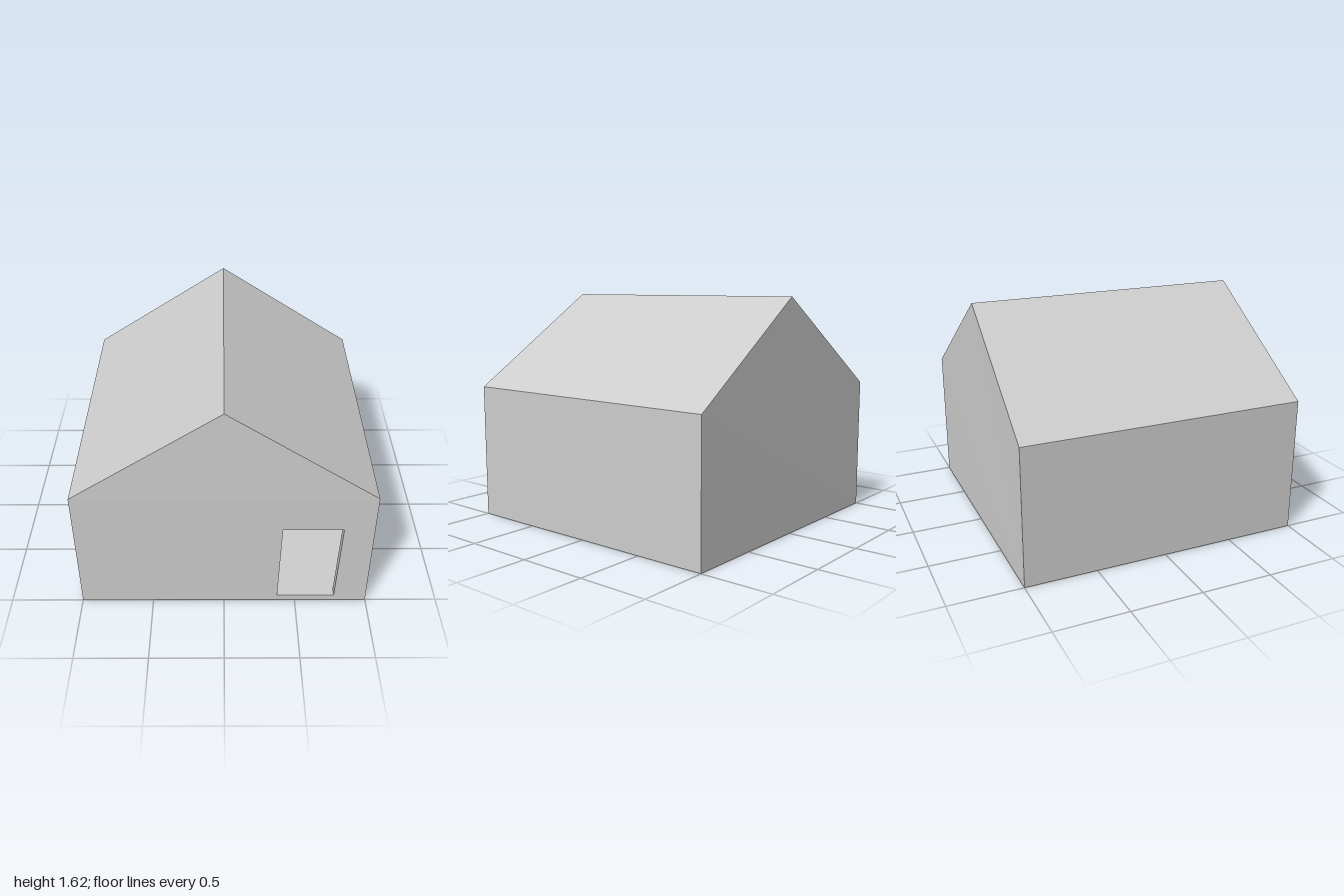
import * as THREE from 'three';

const EAVE = 0.955, RIDGE = 1.615, T = 0.06, FLOOR = 0.045;
const material = new THREE.MeshStandardMaterial({ color: 0xcccccc, flatShading: true });
const v2 = (x, y) => new THREE.Vector2(x, y);

// House cross-section, anticlockwise from the lower -x corner
const section = (w, y0, eave, ridge) =>
  [v2(-w, y0), v2(w, y0), v2(w, eave), v2(0, ridge), v2(-w, eave)];

const outer = section(1, 0, EAVE, RIDGE);
const inner = section(1 - T, FLOOR, EAVE, RIDGE - 0.01);
const door = [v2(0.375, FLOOR), v2(0.39, 0.68), v2(0.795, 0.68), v2(0.775, FLOOR)];

// Gable tips lean slightly inwards above the eaves
const outerZ = (y) => 1 - 0.017 * Math.max(0, (y - EAVE) / (RIDGE - EAVE));
const innerZ = () => 1 - T;

// Faces swept from front to back along a line of section points
function strip(points, frontZ, backZ) {
  const pos = [];
  for (let i = 0; i + 1 < points.length; i++) {
    const a = points[i], b = points[i + 1];
    const aF = [a.x, a.y, frontZ(a.y)], aB = [a.x, a.y, backZ(a.y)];
    const bF = [b.x, b.y, frontZ(b.y)], bB = [b.x, b.y, backZ(b.y)];
    pos.push(...aF, ...aB, ...bB, ...aF, ...bB, ...bF);
  }
  const g = new THREE.BufferGeometry();
  g.setAttribute('position', new THREE.Float32BufferAttribute(pos, 3));
  g.computeVertexNormals();
  return g;
}

// Flat gable wall at a given z rule, facing +z or -z, with an optional opening
function gable(points, zRule, facesFront, hole) {
  const shape = new THREE.Shape(points);
  if (hole) shape.holes.push(new THREE.Path(hole));
  const g = new THREE.ShapeGeometry(shape);
  const p = g.attributes.position;
  for (let i = 0; i < p.count; i++) p.setZ(i, zRule(p.getY(i)));
  if (!facesFront) g.setIndex(Array.from(g.index.array).reverse());
  const flat = g.toNonIndexed();
  flat.computeVertexNormals();
  return flat;
}

export function createModel() {
  const house = new THREE.Group();
  house.name = 'house';
  const add = (name, geometry) => {
    const mesh = new THREE.Mesh(geometry, material);
    mesh.name = name;
    house.add(mesh);
  };

  // Outer and inner shells: the inner one runs backwards so it faces the room
  for (const [prefix, ring, zRule, inside] of [
    ['outer', outer, outerZ, false],
    ['inner', inner, innerZ, true],
  ]) {
    const back = (y) => -zRule(y);
    const [a, b, c, d, e] = ring;
    const sides = { Floor: [a, b], LeftWall: [b, c], Roof: [c, d, e], RightWall: [e, a] };
    for (const [name, line] of Object.entries(sides))
      add(prefix + name, strip(inside ? [...line].reverse() : line, zRule, back));
    add(prefix + 'FrontWall', gable(ring, zRule, !inside, door));
    add(prefix + 'BackWall', gable(ring, back, inside));
  }

  // Jambs, lintel and sill through the front wall
  add('doorReveal', strip([...door, door[0]], outerZ, innerZ));
  return house;
}
